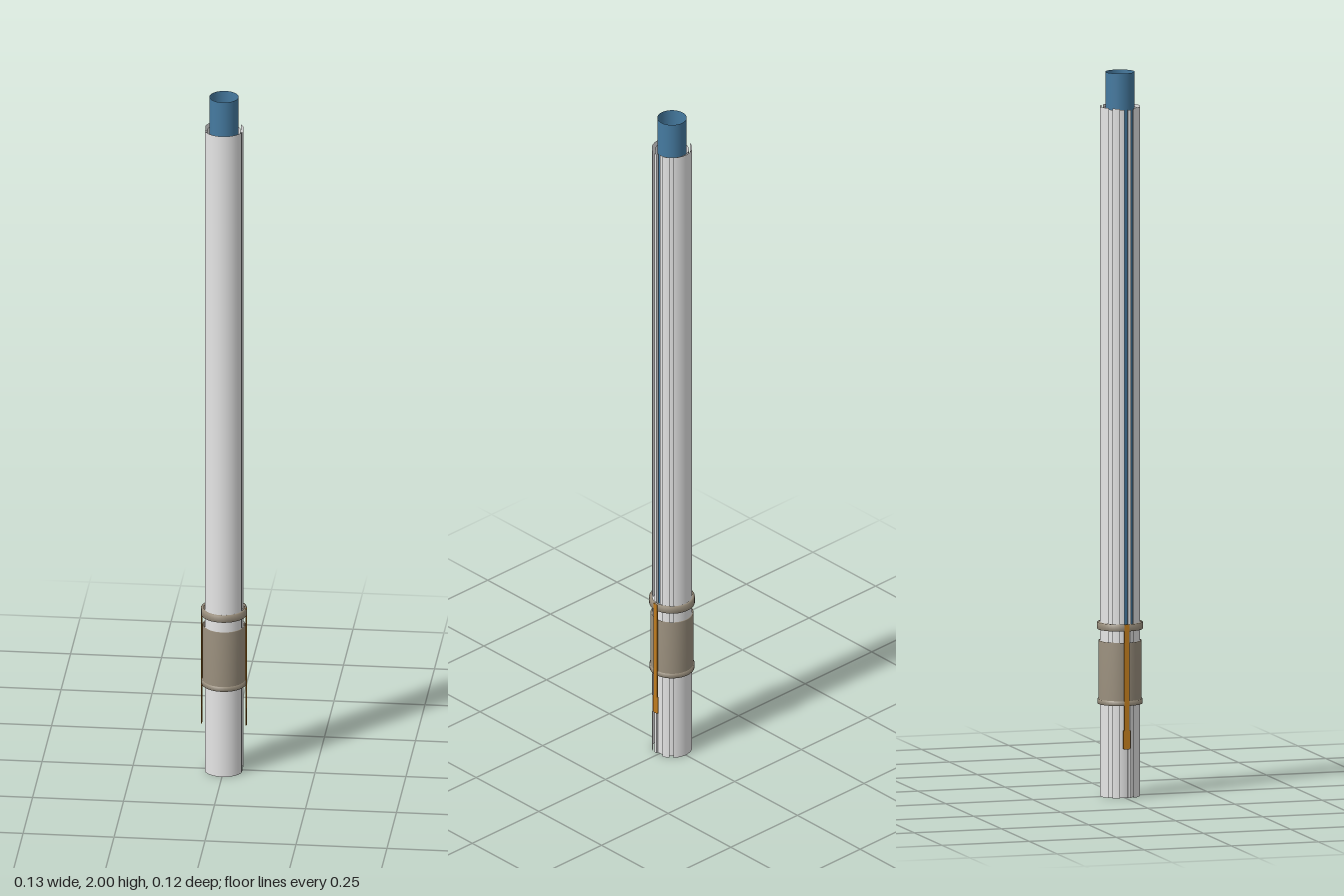
import * as THREE from 'three';

const mat = (name, color) => {
  const m = new THREE.MeshStandardMaterial({ color, side: THREE.DoubleSide });
  m.name = name;
  return m;
};

export function createModel() {
  const white = mat('shell white', 0xe6e6e6);
  const bright = mat('disc white', 0xffffff);
  const blue = mat('rod blue', 0x457aa0);
  const tan = mat('band tan', 0x9c917f);
  const orange = mat('strip orange', 0xc07c1e);

  const root = new THREE.Group();
  root.name = 'slottedTube';
  const add = (name, geo, material, x = 0, y = 0, z = 0) => {
    const m = new THREE.Mesh(geo, material);
    m.name = name;
    m.position.set(x, y, z);
    root.add(m);
    return m;
  };
  const rad = THREE.MathUtils.degToRad;
  // Open tube wall between two heights and two angles (degrees from +z towards +x)
  const tube = (r, y0, y1, a = 0, b = 360) => new THREE.CylinderGeometry(
    r, r, y1 - y0, Math.ceil((b - a) / 8), 1, true, rad(a), rad(b - a)).translate(0, (y0 + y1) / 2, 0);
  // Short band with softly shaded edges
  const band = (name, r, y0, y1) => add(name, new THREE.LatheGeometry(
    [[0.055, y0], [r, y0], [r, y1], [0.055, y1]].map(([x, y]) => new THREE.Vector2(x, y)), 40), tan);

  // Outer shell: thin panels separated by full-height slots
  const panels = [['frontPanel', -66, 66], ['leftPanel', 108, 129],
    ['backPanel', 141, 219], ['rightPanel', 231, 252]];
  for (const [name, a, b] of panels) add(name, tube(0.055, 0, 1.905, a, b), white);

  // Sliding rod, open at the top
  add('rod', tube(0.04, 0.47, 2), blue);

  // Inner liner: closed below, with a side window onto the rod above
  add('lowerLiner', tube(0.046, 0, 0.47), white);
  add('upperLinerFront', tube(0.046, 0.47, 1.9, -60, 60), white);
  add('upperLinerBack', tube(0.046, 0.47, 1.9, 92, 268), white);
  add('stopDisc', new THREE.CircleGeometry(0.054, 40).rotateX(-Math.PI / 2), bright, 0, 0.47, 0);

  // Sleeve and its two retaining rings
  band('sleeve', 0.059, 0.268, 0.43);
  band('upperRing', 0.0625, 0.462, 0.481);
  band('lowerRing', 0.0615, 0.256, 0.269);

  // Slot rails and thin latch strips on both sides
  for (const s of [-1, 1]) {
    add('slotRail', new THREE.BoxGeometry(0.006, 1.9, 0.008), white, s * 0.048, 0.95, 0.011);
    add('latchStrip', new THREE.BoxGeometry(0.003, 0.345, 0.014), orange, s * 0.0615, 0.3085, 0);
    add('latchFoot', new THREE.BoxGeometry(0.003, 0.05, 0.02), orange, s * 0.061, 0.163, 0);
  }
  return root;
}
